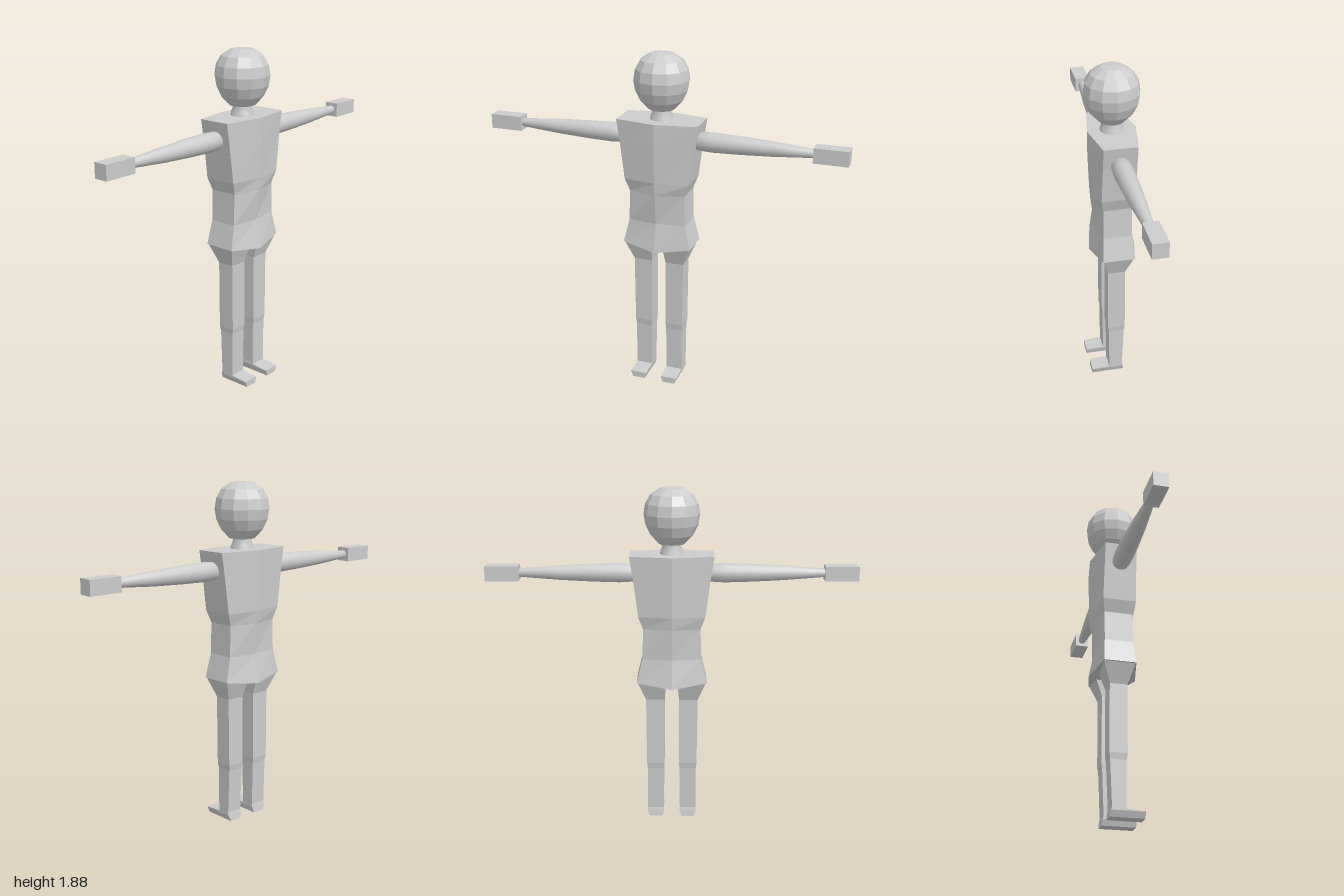
import * as THREE from 'three';

const grey = new THREE.MeshStandardMaterial({ color: 0xcccccc });

function flat(geometry) {
  const g = geometry.index ? geometry.toNonIndexed() : geometry;
  g.computeVertexNormals();
  return g;
}

// Joins rings of points, lowest first, into a closed faceted body.
function loft(rings) {
  const n = rings[0].length, out = [];
  const tri = (a, b, c) => out.push(...a, ...b, ...c);
  for (let r = 0; r < rings.length - 1; r++) {
    for (let i = 0; i < n; i++) {
      const j = (i + 1) % n, lo = rings[r], hi = rings[r + 1];
      tri(lo[i], lo[j], hi[j]);
      tri(lo[i], hi[j], hi[i]);
    }
  }
  const bottom = rings[0], top = rings[rings.length - 1];
  for (let i = 1; i < n - 1; i++) {
    tri(bottom[0], bottom[i + 1], bottom[i]);
    tri(top[0], top[i], top[i + 1]);
  }
  const g = new THREE.BufferGeometry();
  g.setAttribute('position', new THREE.Float32BufferAttribute(out, 3));
  return flat(g);
}

const lathe = (points, sides) =>
  new THREE.LatheGeometry(points.map(([r, y]) => new THREE.Vector2(r, y)), sides);

// Four-cornered ring on one side of the body; front and back may differ in height.
function boxRing(side, inner, outer, back, front, yBack, yFront = yBack) {
  const x0 = Math.min(side * inner, side * outer), x1 = Math.max(side * inner, side * outer);
  return [[x0, yFront, front], [x1, yFront, front], [x1, yBack, back], [x0, yBack, back]];
}

// Six-cornered ring with a ridge down the front and back.
const torsoRing = ([y, ridgeY, w, d, front, back]) => [
  [0, ridgeY, front], [w, y, d], [w, y, -d],
  [0, ridgeY, -back], [-w, y, -d], [-w, y, d],
];

export function createModel() {
  const model = new THREE.Group();
  const add = (name, geometry) => {
    const mesh = new THREE.Mesh(geometry, grey);
    mesh.name = name;
    model.add(mesh);
    return mesh;
  };

  // Head and neck
  add('head', flat(lathe([
    [0, 1.572], [0.07, 1.582], [0.115, 1.63], [0.141, 1.685],
    [0.15, 1.74], [0.141, 1.795], [0.113, 1.843], [0.06, 1.876], [0, 1.882],
  ], 12)));
  add('neck', lathe([[0.066, 1.52], [0.06, 1.545], [0.052, 1.565], [0.05, 1.6]], 12));

  // Torso, from hem to shoulders
  add('torso', loft([
    [0.826, 0.80, 0.192, 0.088, 0.13, 0.13],
    [0.96, 0.96, 0.16, 0.078, 0.097, 0.1],
    [1.13, 1.13, 0.155, 0.078, 0.118, 0.112],
    [1.2, 1.2, 0.18, 0.092, 0.123, 0.122],
    [1.4, 1.4, 0.205, 0.09, 0.13, 0.128],
    [1.527, 1.527, 0.225, 0.09, 0.13, 0.13],
  ].map(torsoRing)));

  for (const side of [1, -1]) {
    const label = side > 0 ? 'left' : 'right';

    // Arm and hand
    const arm = add(label + 'Arm', lathe([
      [0, 0.17], [0.046, 0.17], [0.053, 0.28], [0.049, 0.42],
      [0.04, 0.6], [0.022, 0.83], [0, 0.83],
    ], 16));
    arm.rotation.z = -side * Math.PI / 2;
    arm.position.y = 1.424;
    add(label + 'Hand', flat(new THREE.BoxGeometry(0.18, 0.08, 0.08)))
      .position.set(side * 0.91, 1.424, 0);

    // Leg, from ankle to hip
    add(label + 'Leg', loft([
      boxRing(side, 0.046, 0.137, -0.032, 0.043, 0.035),
      boxRing(side, 0.043, 0.136, -0.042, 0.045, 0.30),
      boxRing(side, 0.041, 0.14, -0.047, 0.05, 0.333),
      boxRing(side, 0.04, 0.143, -0.046, 0.05, 0.715),
      boxRing(side, 0.03, 0.185, -0.085, 0.085, 0.824),
    ]));

    // Foot
    add(label + 'Foot', loft([
      boxRing(side, 0.055, 0.125, -0.042, 0.143, 0),
      boxRing(side, 0.045, 0.138, -0.037, 0.143, 0.033),
      boxRing(side, 0.045, 0.138, -0.033, 0.143, 0.05, 0.035),
    ]));
  }
  return model;
}
